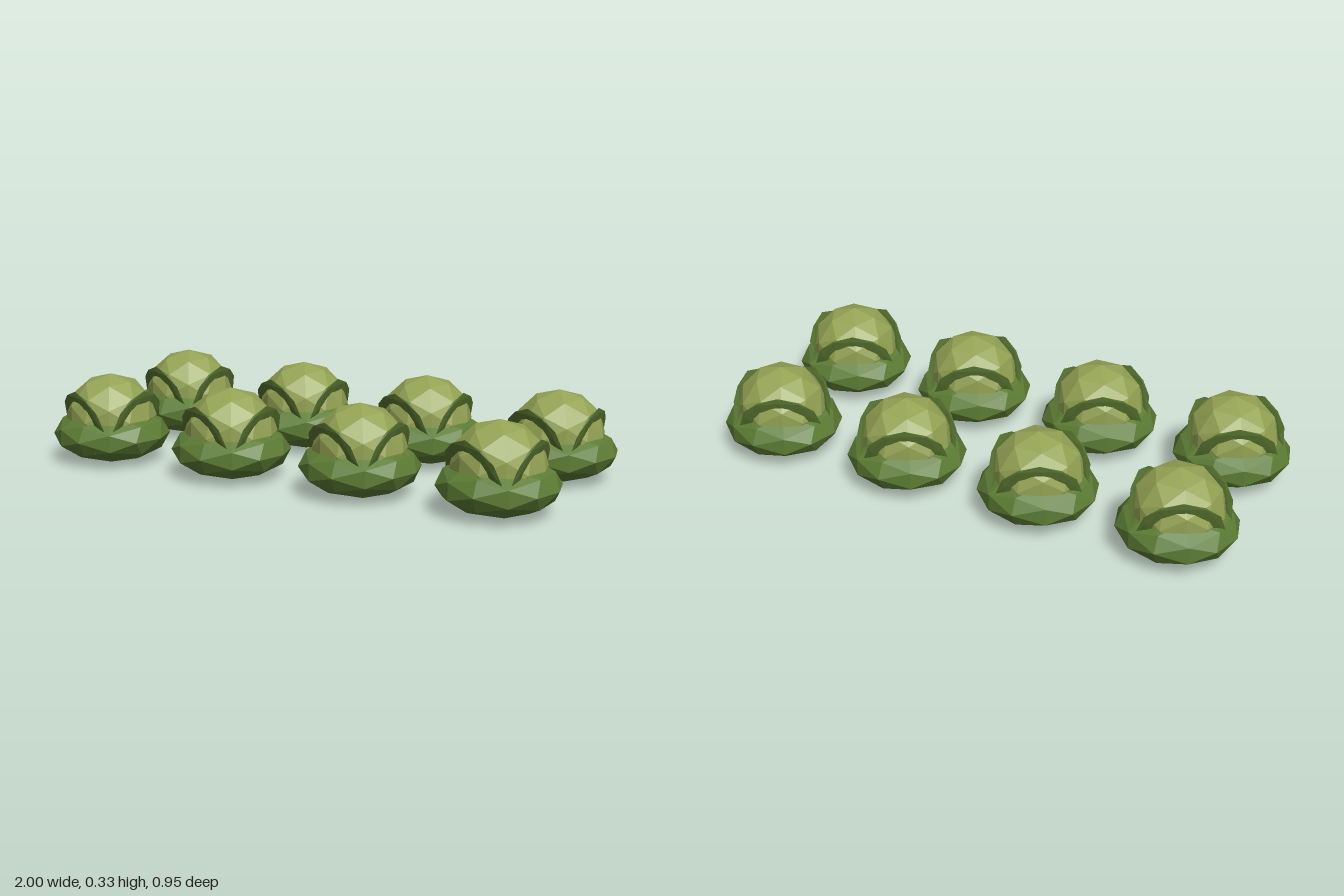
import * as THREE from 'three';

const material = (name, color) => {
  const m = new THREE.MeshStandardMaterial({ color, flatShading: true });
  m.name = name;
  return m;
};

export function createModel() {
  const heart = material('light olive green', 0x94a354);
  const outer = material('leaf green', 0x5c7c34);
  const rim = material('dark leaf green', 0x546f2e);
  const ball = new THREE.IcosahedronGeometry(1, 1);

  // Faceted ball stretched to the given half sizes
  const blob = (name, mat, sx, sy, sz, x, y) => {
    const mesh = new THREE.Mesh(ball, mat);
    mesh.name = name;
    mesh.scale.set(sx, sy, sz);
    mesh.position.set(x, y, 0);
    return mesh;
  };

  const cabbage = () => {
    const g = new THREE.Group();
    g.name = 'cabbage';
    g.add(blob('outerLeaves', outer, 0.217, 0.102, 0.211, 0, 0.105));
    g.add(blob('head', heart, 0.167, 0.158, 0.167, 0, 0.17));
    // Three thin leaves leaning outward, with the head bulging through them
    for (const degrees of [0, 117, -117]) {
      const pivot = new THREE.Group();
      pivot.name = 'wrapperLeaf';
      const leaf = blob('leafBlade', rim, 0.013, 0.139, 0.15, 0.108, 0.143);
      leaf.rotation.z = -0.29;
      pivot.add(leaf);
      pivot.rotation.y = THREE.MathUtils.degToRad(degrees);
      g.add(pivot);
    }
    return g;
  };

  // Two rows of four
  const model = new THREE.Group();
  model.name = 'cabbagePatch';
  for (const z of [-0.266, 0.266]) {
    for (let i = 0; i < 4; i++) {
      const c = cabbage();
      c.position.set((i - 1.5) * 0.522, 0, z);
      model.add(c);
    }
  }
  return model;
}
